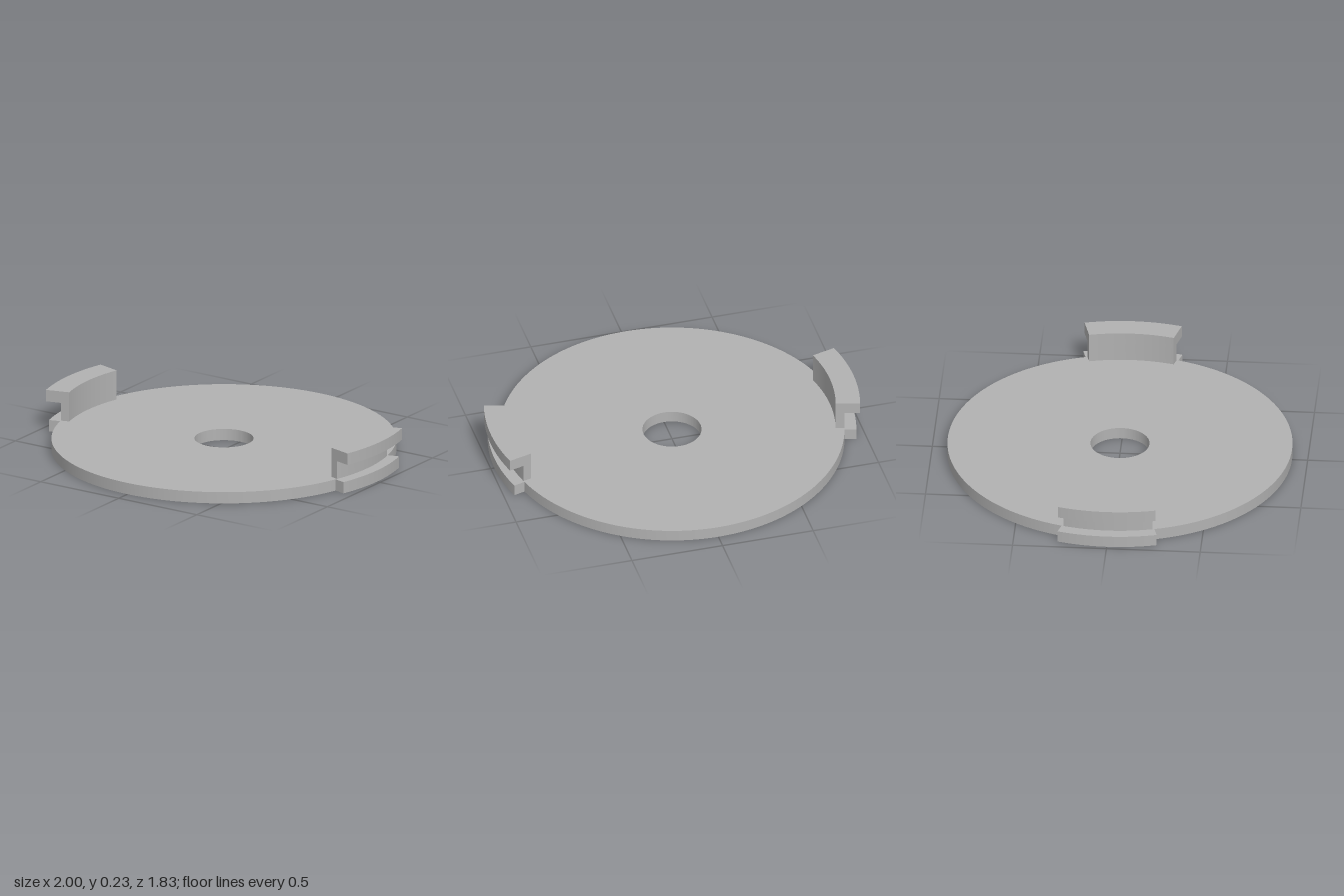
import * as THREE from 'three';
import { toCreasedNormals } from 'three/addons/utils/BufferGeometryUtils.js';

const DISC_R = 0.917, HOLE_R = 0.157, TAB_R = 0.98;
const INNER_R = 0.87, LIP_R = 1.0;
const BASE_TOP = 0.063, WALL_TOP = 0.162, LIP_TOP = 0.226;
const TAB_ANGLE = 0.273, CLIP_ANGLE = 0.262; // half angles

// Extrude a plan outline upward between two heights
function slab(shape, y0, y1, segments) {
  const geometry = new THREE.ExtrudeGeometry(shape, {
    depth: y1 - y0, bevelEnabled: false, curveSegments: segments,
  });
  geometry.rotateX(-Math.PI / 2).translate(0, y0, 0);
  return toCreasedNormals(geometry, 0.5);
}

// Ring sector centred on the +x axis
function sector(inner, outer, half) {
  const shape = new THREE.Shape();
  shape.absarc(0, 0, outer, -half, half, false);
  shape.absarc(0, 0, inner, half, -half, true);
  shape.closePath();
  return shape;
}

export function createModel() {
  const model = new THREE.Group();
  model.name = 'discWithClips';
  const grey = new THREE.MeshStandardMaterial({ color: 0xb2b2b2 });
  grey.name = 'plainGrey';

  const add = (parent, name, geometry) => {
    const mesh = new THREE.Mesh(geometry, grey);
    mesh.name = name;
    parent.add(mesh);
  };

  // Base disc with a stepped tab at each side and a central hole
  const a = TAB_ANGLE, pi = Math.PI;
  const outline = new THREE.Shape();
  outline.absarc(0, 0, TAB_R, -a, a, false);
  outline.absarc(0, 0, DISC_R, a, pi - a, false);
  outline.absarc(0, 0, TAB_R, pi - a, pi + a, false);
  outline.absarc(0, 0, DISC_R, pi + a, 2 * pi - a, false);
  outline.closePath();
  const hole = new THREE.Path();
  hole.absarc(0, 0, HOLE_R, 0, 2 * pi, true);
  outline.holes.push(hole);
  add(model, 'baseDisc', slab(outline, 0, BASE_TOP, 64));

  // Curved clips: an upright wall carrying an outward lip
  const wall = slab(sector(INNER_R, DISC_R, CLIP_ANGLE), BASE_TOP, WALL_TOP, 24);
  const lip = slab(sector(INNER_R, LIP_R, CLIP_ANGLE), WALL_TOP, LIP_TOP, 24);
  for (const [name, turn] of [['leftClip', 0], ['rightClip', pi]]) {
    const clip = new THREE.Group();
    clip.name = name;
    clip.rotation.y = turn;
    add(clip, 'clipWall', wall);
    add(clip, 'clipLip', lip);
    model.add(clip);
  }
  return model;
}
